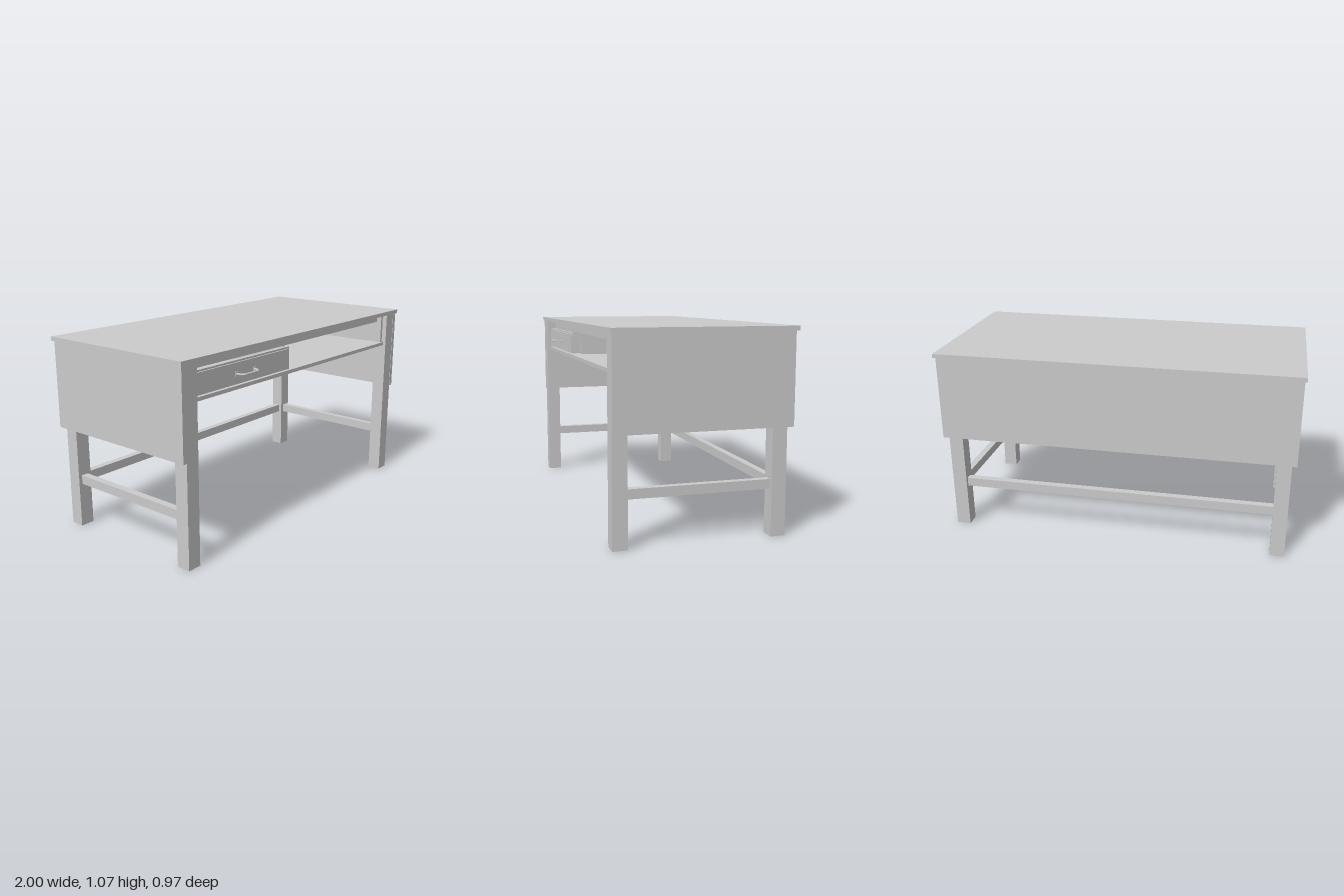
import * as THREE from 'three';

const material = new THREE.MeshStandardMaterial({ color: 0xcccccc, flatShading: true });

// Box given by its extents along each axis
function block(parent, name, [x0, x1], [y0, y1], [z0, z1]) {
  const mesh = new THREE.Mesh(new THREE.BoxGeometry(x1 - x0, y1 - y0, z1 - z0), material);
  mesh.position.set((x0 + x1) / 2, (y0 + y1) / 2, (z0 + z1) / 2);
  mesh.name = name;
  parent.add(mesh);
  return mesh;
}

function createDrawer() {
  const drawer = new THREE.Group();
  drawer.name = 'drawer';

  // Open-topped box
  block(drawer, 'drawerBottom', [-0.87, -0.135], [0.87, 0.88], [-0.4, 0.41]);
  block(drawer, 'drawerBack', [-0.87, -0.135], [0.88, 0.975], [-0.4, -0.385]);
  for (const x of [-0.87, -0.15]) {
    block(drawer, 'drawerSide', [x, x + 0.015], [0.88, 0.975], [-0.385, 0.41]);
  }

  // Front with a slightly raised panel
  block(drawer, 'drawerFront', [-0.883, -0.122], [0.868, 0.993], [0.41, 0.428]);
  block(drawer, 'drawerFrontPanel', [-0.873, -0.132], [0.878, 0.983], [0.428, 0.436]);

  // Bow handle with splayed ends and mounting plates
  const path = new THREE.CurvePath();
  const points = [[-0.578, 0.434], [-0.572, 0.46], [-0.555, 0.479], [-0.453, 0.479], [-0.436, 0.46], [-0.43, 0.434]]
    .map(([x, z]) => new THREE.Vector3(x, 0.925, z));
  for (let i = 1; i < points.length; i++) path.add(new THREE.LineCurve3(points[i - 1], points[i]));
  const handle = new THREE.Mesh(new THREE.TubeGeometry(path, 40, 0.006, 8), material);
  handle.name = 'drawerHandle';
  drawer.add(handle);
  for (const x of [-0.578, -0.43]) {
    block(drawer, 'handlePlate', [x - 0.008, x + 0.008], [0.912, 0.938], [0.436, 0.441]);
  }
  return drawer;
}

export function createModel() {
  const desk = new THREE.Group();
  desk.name = 'desk';

  block(desk, 'tabletop', [-1, 1], [1.042, 1.065], [-0.485, 0.468]);

  // Legs, side panels and side stretchers, mirrored
  for (const s of [-1, 1]) {
    const span = (a, b) => (s > 0 ? [a, b] : [-b, -a]);
    block(desk, 'frontLeg', span(0.885, 0.965), [0, 1.042], [0.38, 0.458]);
    block(desk, 'backLeg', span(0.885, 0.965), [0, 1.042], [-0.446, -0.368]);
    block(desk, 'sidePanel', span(0.965, 0.99), [0.565, 1.042], [-0.47, 0.46]);
    block(desk, 'sideStretcher', span(0.905, 0.945), [0.245, 0.295], [-0.368, 0.38]);
  }

  block(desk, 'backPanel', [-0.965, 0.965], [0.565, 1.042], [-0.47, -0.446]);
  block(desk, 'backStretcher', [-0.885, 0.885], [0.245, 0.295], [-0.427, -0.387]);

  // Compartment beneath the top
  block(desk, 'frontRail', [-0.885, 0.885], [0.995, 1.042], [0.38, 0.4]);
  block(desk, 'shelf', [-0.885, 0.885], [0.845, 0.865], [-0.446, 0.44]);
  block(desk, 'divider', [-0.12, -0.1], [0.865, 1.042], [-0.446, 0.38]);
  block(desk, 'compartmentSide', [0.866, 0.885], [0.865, 1.042], [-0.446, 0.43]);
  block(desk, 'compartmentSide', [-0.9, -0.885], [0.845, 1.042], [-0.446, 0.38]);

  desk.add(createDrawer());
  return desk;
}
